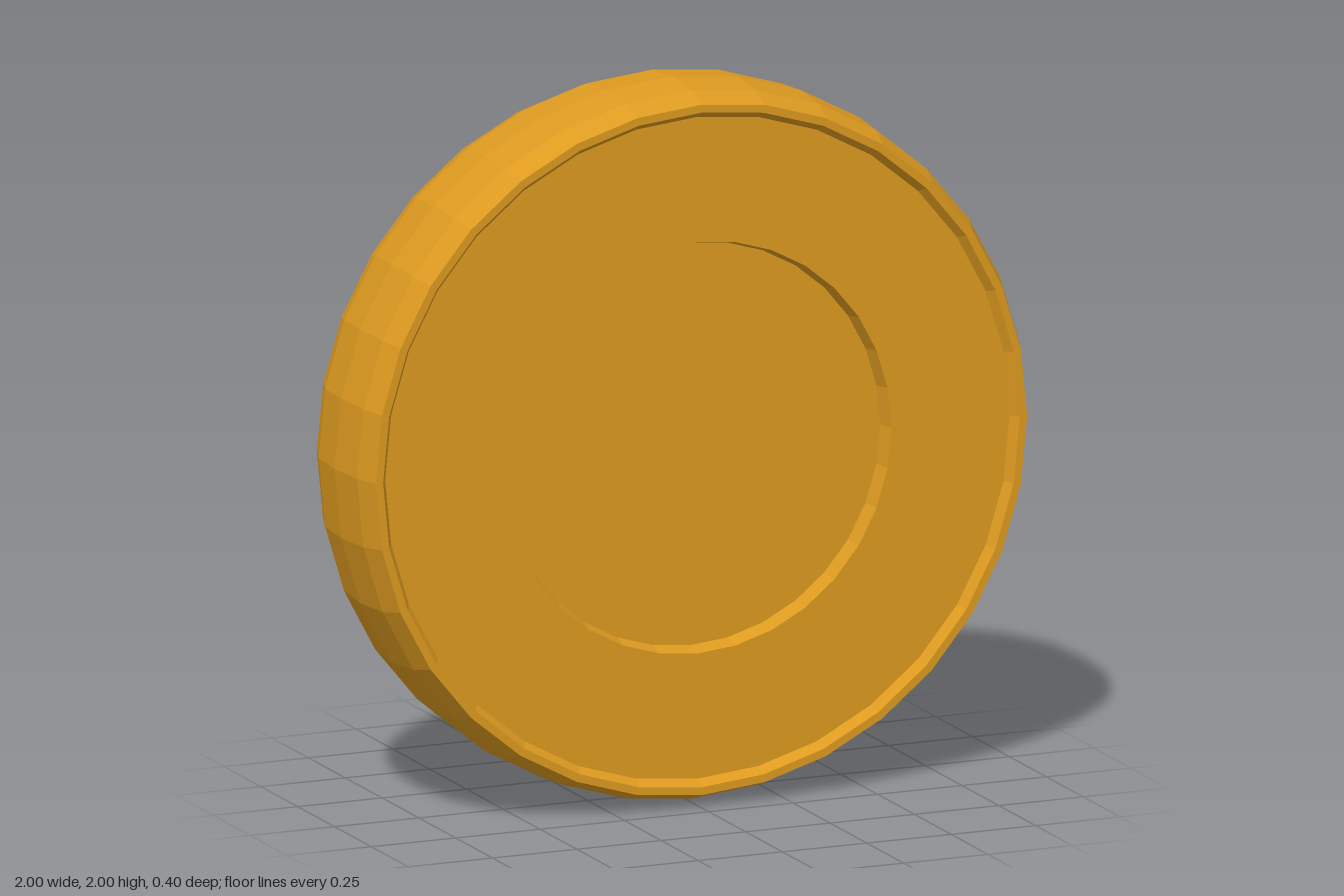
import * as THREE from 'three';

const SIDES = 32;

export function createModel() {
  const group = new THREE.Group();
  const material = new THREE.MeshStandardMaterial({ color: 0xdd9a20, flatShading: true });

  // Turn a [radius, z] profile, listed from back to front, about the z axis
  function turned(name, profile) {
    const points = profile.map(([r, z]) => new THREE.Vector2(r, z));
    const geometry = new THREE.LatheGeometry(points, SIDES).rotateX(Math.PI / 2);
    const mesh = new THREE.Mesh(geometry, material);
    mesh.name = name;
    mesh.position.y = 1;
    group.add(mesh);
  }

  // Rounded outer edge with a narrow lip on both sides
  turned('rim', [
    [0.925, -0.172], [0.943, -0.2], [0.965, -0.2], [0.99, -0.13], [1, 0],
    [0.99, 0.13], [0.965, 0.2], [0.943, 0.2], [0.925, 0.172],
  ]);

  // Plain sunken back
  turned('backFace', [[0, -0.172], [0.925, -0.172]]);

  // Sunken front ring, then the deeper round recess in the middle
  turned('frontRing', [[0.925, 0.172], [0.575, 0.172]]);
  turned('centreRecess', [[0.575, 0.172], [0.563, 0.122], [0, 0.122]]);

  return group;
}
